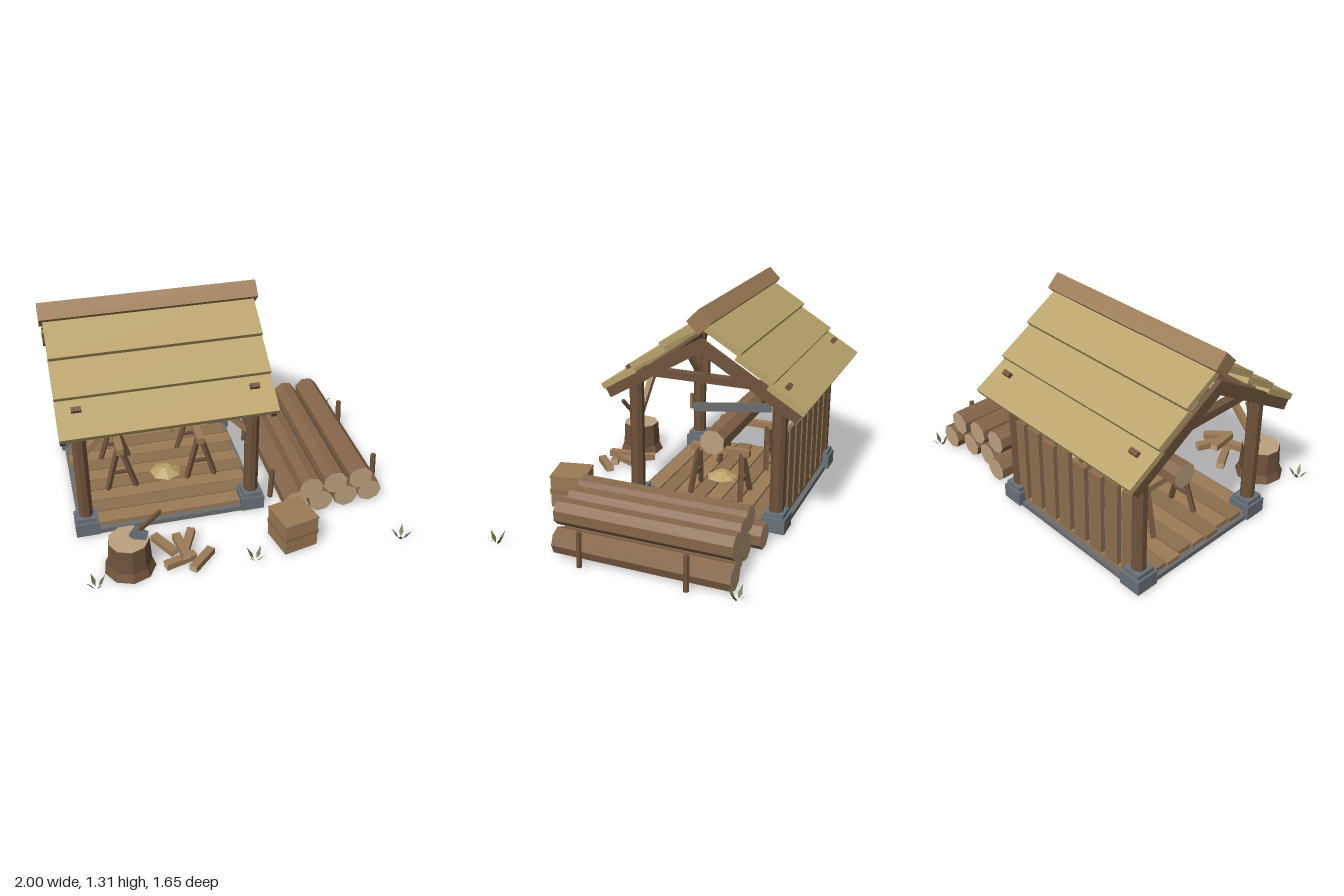
import * as THREE from 'three';

const mat = (name, color, extra = {}) => {
  const m = new THREE.MeshStandardMaterial({ color, ...extra });
  m.name = name;
  return m;
};

export function createModel() {
  const straw = mat('roofStraw', 0xb9a36b);
  const wood = mat('lightWood', 0x9c7b55);
  const plankWood = mat('plankWood', 0x8d6f4e);
  const dark = mat('darkWood', 0x6f533b);
  const bark = mat('bark', 0x86674a);
  const cut = mat('cutWood', 0xbda180);
  const stone = mat('stone', 0x68727a);
  const grey = mat('grey', 0x6c6d6e);
  const leaf = mat('leaf', 0x5d7346, { side: THREE.DoubleSide });

  const root = new THREE.Group();
  const CX = -0.365, RZ = -0.197; // middle of the shed

  const flat = (g) => {
    const f = g.index ? g.toNonIndexed() : g;
    f.computeVertexNormals();
    return f;
  };
  const add = (name, geo, material, pos = [0, 0, 0], rot = [0, 0, 0], parent = root) => {
    const m = new THREE.Mesh(flat(geo), material);
    m.name = name;
    m.position.set(...pos);
    m.rotation.set(...rot);
    parent.add(m);
    return m;
  };
  const box = (name, size, material, pos, rot, parent) =>
    add(name, new THREE.BoxGeometry(...size), material, pos, rot, parent);
  // square or round bar between two points
  const bar = (name, a, b, w, material, sides = 0) => {
    const p = new THREE.Vector3(...a), q = new THREE.Vector3(...b);
    const len = p.distanceTo(q);
    const geo = sides ? new THREE.CylinderGeometry(w / 2, w / 2, len, sides) : new THREE.BoxGeometry(w, len, w);
    const m = add(name, geo, material, p.clone().add(q).multiplyScalar(0.5).toArray());
    m.quaternion.setFromUnitVectors(new THREE.Vector3(0, 1, 0), q.sub(p).normalize());
    return m;
  };

  // base slab and deck boards
  box('baseSlab', [1.11, 0.03, 0.99], grey, [CX, 0.015, -0.195]);
  for (let i = 0; i < 9; i++) {
    const w = 1.04 + (i % 3) * 0.02;
    box('deckBoard', [w, 0.03, 0.096], i % 2 ? plankWood : wood, [CX, 0.042, RZ + (i - 4) * 0.104]);
  }

  // posts, footings, braces
  for (const sx of [-1, 1]) {
    const x = CX + sx * 0.505;
    for (const sz of [-1, 1]) {
      const z = RZ + sz * 0.445;
      box('footing', [0.14, 0.09, 0.14], stone, [x, 0.055, z]);
      box('footingTop', [0.115, 0.03, 0.115], stone, [x, 0.112, z]);
      const post = new THREE.CylinderGeometry(0.0433, 0.0433, 0.75, 8).rotateY(Math.PI / 8);
      add('post', post, dark, [x, 0.475, z]);
      bar('brace', [x - sx * 0.03, 0.57, z], [x - sx * 0.26, 0.81, z], 0.034, wood);
    }
    // gable tie beam and king post
    box('tieBeam', [0.05, 0.047, 0.8], dark, [x, 0.877, RZ]);
    box('kingPost', [0.035, 0.2, 0.035], dark, [x, 0.98, RZ]);
  }
  for (const sz of [-1, 1]) box('wallPlate', [1.1, 0.06, 0.06], dark, [CX, 0.82, RZ + sz * 0.445]);

  // roof: one slope built once, turned round for the other
  const A = 0.541, c = Math.cos(A), s = Math.sin(A);
  for (const turn of [0, Math.PI]) {
    const slope = new THREE.Group();
    slope.name = 'roofSlope';
    slope.position.set(CX, 0, RZ);
    slope.rotation.y = turn;
    root.add(slope);
    for (let i = 0; i < 3; i++) {
      const z = 0.607 - i * 0.187, y = 0.765 + i * 0.147, L = i === 2 ? 0.27 : 0.25, t = 0.036;
      box('roofBoard', [1.23, t, L], straw,
        [0, y + s * L / 2 + c * t / 2, z - c * L / 2 + s * t / 2], [A, 0, 0], slope);
    }
    for (const sx of [-1, 1]) {
      box('rafter', [0.03, 0.07, 0.7], dark,
        [sx * 0.597, 1.138 - s * 0.35 - c * 0.035, c * 0.35 - s * 0.035], [A, 0, 0], slope);
      box('roofPeg', [0.055, 0.03, 0.028], dark, [sx * 0.503, 0.889, 0.487], [A, 0, 0], slope);
    }
  }
  box('ridgeBeam', [1.27, 0.104, 0.104], wood, [CX, 1.237, RZ], [Math.PI / 4, 0, 0]);

  // back wall
  const tops = [0.59, 0.6, 0.575, 0.565, 0.6, 0.57, 0.59, 0.585];
  tops.forEach((top, i) => {
    box('wallBoard', [0.095, top - 0.06, 0.028], plankWood, [-0.813 + i * 0.1285, (top + 0.06) / 2, -0.655]);
  });
  box('wallRail', [0.95, 0.035, 0.03], dark, [CX, 0.377, -0.627]);

  // logs with pale cut ends
  const logGeo = (r, len, spin) => new THREE.CylinderGeometry(r, r, len, 8).rotateY(spin);

  // sawhorses
  for (const x of [-0.615, -0.11]) {
    box('sawhorseTop', [0.045, 0.04, 0.38], wood, [x, 0.34, RZ]);
    for (const sz of [-1, 1]) {
      for (const sx of [-1, 1]) {
        bar('sawhorseLeg', [x + sx * 0.01, 0.335, RZ + sz * 0.14], [x + sx * 0.09, 0.055, RZ + sz * 0.165], 0.027, dark);
      }
      bar('sawhorseStretcher', [x - 0.06, 0.17, RZ + sz * 0.153], [x + 0.06, 0.17, RZ + sz * 0.153], 0.02, dark);
    }
  }
  add('sawnLog', logGeo(0.08, 0.81, Math.PI / 8), [bark, cut, cut], [-0.365, 0.44, RZ], [0, 0, Math.PI / 2]);

  // two-handed saw
  box('sawBlade', [0.01, 0.058, 0.52], grey, [-0.305, 0.548, -0.192], [0.125, 0, 0]);
  box('sawHandle', [0.018, 0.1, 0.018], wood, [-0.305, 0.555, 0.077]);
  box('sawHandle', [0.018, 0.1, 0.018], wood, [-0.305, 0.624, -0.464]);

  // sawdust heap
  add('sawdust', new THREE.CylinderGeometry(0.03, 0.1, 0.04, 7), straw, [-0.32, 0.077, -0.13]);

  // log pile: x, y, back z, front z
  [
    [0.385, 0.08, -0.65, 0.395], [0.54, 0.08, -0.6, 0.42], [0.705, 0.08, -0.61, 0.41], [0.866, 0.08, -0.65, 0.395],
    [0.46, 0.215, -0.59, 0.455], [0.62, 0.215, -0.61, 0.435], [0.785, 0.215, -0.63, 0.425],
  ].forEach(([x, y, z0, z1], i) => {
    add('pileLog', logGeo(0.077, z1 - z0, Math.PI / 8 + i * 0.13), [bark, cut, cut], [x, y, (z0 + z1) / 2], [Math.PI / 2, 0, 0]);
  });
  for (const [x, lean] of [[0.28, 0.01], [0.965, -0.01]]) {
    for (const z of [-0.417, 0.21]) bar('stake', [x, 0, z], [x + lean, 0.205, z], 0.034, dark, 6);
  }

  // chopping stump
  const stump = [[0, 0], [0.15, 0], [0.128, 0.05], [0.119, 0.2], [0, 0.2]].map((p) => new THREE.Vector2(...p));
  add('stump', new THREE.LatheGeometry(stump, 9), dark, [-0.672, 0, 0.615]);
  add('stumpTop', new THREE.CylinderGeometry(0.117, 0.117, 0.006, 9), cut, [-0.672, 0.2, 0.615]);

  // axe
  bar('axeHandle', [-0.635, 0.225, 0.61], [-0.495, 0.412, 0.67], 0.02, dark);
  const head = new THREE.Shape([[-0.05, -0.025], [-0.02, -0.04], [0.05, -0.02], [0.05, 0.02], [-0.03, 0.04]]
    .map((p) => new THREE.Vector2(...p)));
  const headGeo = new THREE.ExtrudeGeometry(head, { depth: 0.03, bevelEnabled: false }).translate(0, 0, -0.015);
  add('axeHead', headGeo, stone, [-0.612, 0.235, 0.62], [0, -0.35, -0.25]);

  // split firewood: x, y, z, turn about y
  [
    [-0.455, 0.03, 0.52, 0.52], [-0.37, 0.075, 0.605, 0.14], [-0.32, 0.055, 0.55, -0.42],
    [-0.39, 0.03, 0.67, 1.85], [-0.267, 0.028, 0.69, 2.34],
  ].forEach(([x, y, z, r]) => {
    box('firewood', [0.048, 0.04, 0.19], [wood, wood, wood, wood, cut, cut], [x, y, z], [0, r, 0]);
  });

  // crate with a strap
  box('crate', [0.21, 0.2, 0.21], wood, [0.29, 0.112, 0.63], [0, 0.22, 0]);
  box('crateBand', [0.218, 0.03, 0.218], plankWood, [0.29, 0.115, 0.63], [0, 0.22, 0]);
  box('crateLid', [0.216, 0.012, 0.216], wood, [0.29, 0.212, 0.63], [0, 0.22, 0]);

  // grass tufts
  const blade = new THREE.Shape([[0, 0], [0.013, 0.03], [0, 0.08], [-0.013, 0.03]].map((p) => new THREE.Vector2(...p)));
  [[-0.88, 0.74], [0.035, 0.74], [0.92, 0.77], [0.94, -0.69]].forEach(([x, z], t) => {
    const tuft = new THREE.Group();
    tuft.name = 'grassTuft';
    tuft.position.set(x, 0, z);
    tuft.rotation.y = t * 0.35;
    root.add(tuft);
    for (let i = 0; i < 4; i++) {
      const a = i * Math.PI / 2 + 0.4;
      const g = new THREE.ShapeGeometry(blade).rotateX(0.65).rotateY(a);
      add('grassBlade', g, leaf, [Math.sin(a) * 0.012, 0, Math.cos(a) * 0.012], [0, 0, 0], tuft);
    }
  });

  return root;
}
